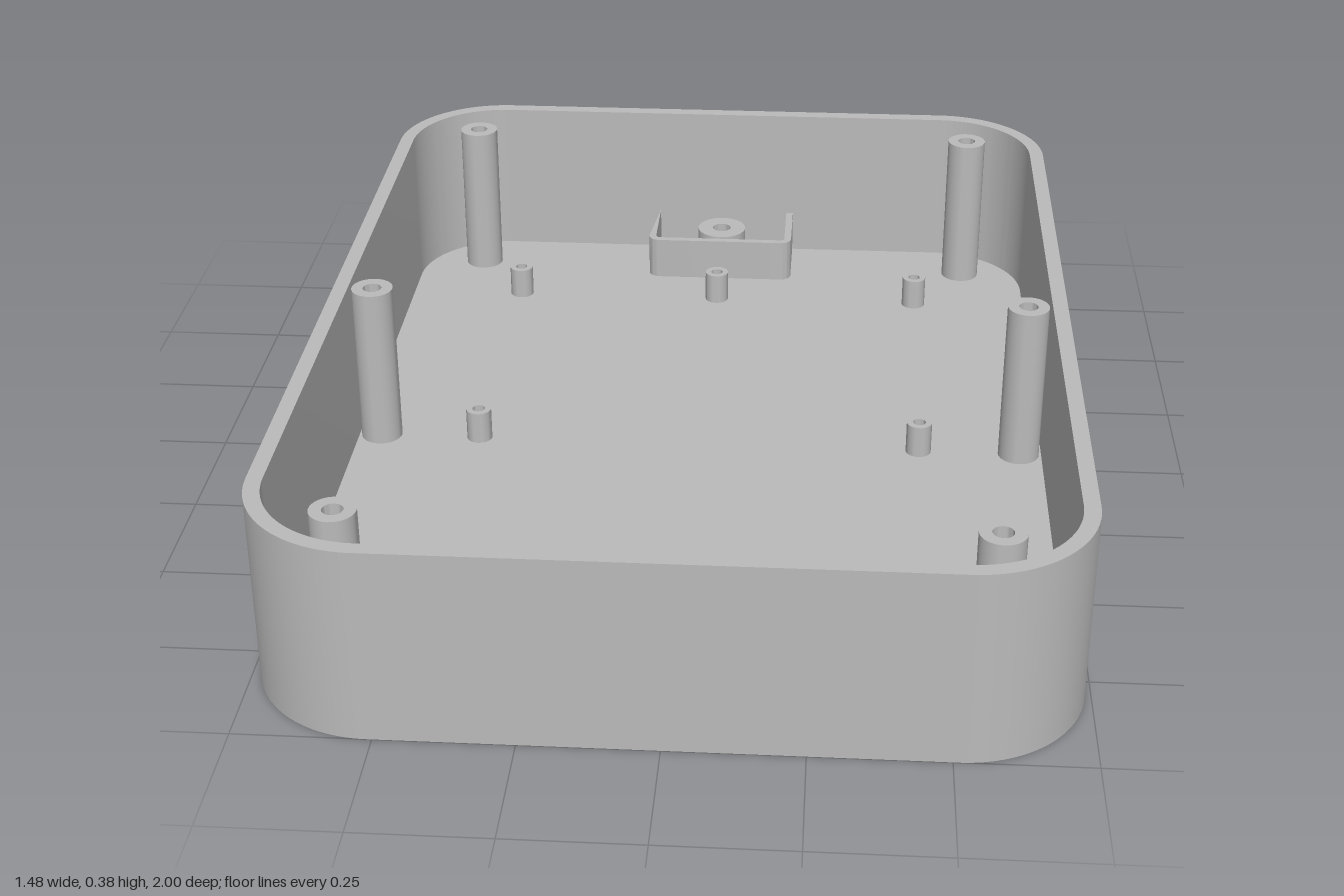
import * as THREE from 'three';
import { toCreasedNormals } from 'three/addons/utils/BufferGeometryUtils.js';

const W = 1.48, L = 2, H = 0.38, FLOOR = 0.035, WALL = 0.03, RADIUS = 0.23;

// Rounded rectangle centred on the origin
function roundedRect(PathType, w, l, r) {
  const p = new PathType(), x = w / 2 - r, y = l / 2 - r;
  p.absarc(x, y, r, 0, Math.PI / 2);
  p.absarc(-x, y, r, Math.PI / 2, Math.PI);
  p.absarc(-x, -y, r, Math.PI, Math.PI * 1.5);
  p.absarc(x, -y, r, Math.PI * 1.5, Math.PI * 2);
  p.closePath();
  return p;
}

// Extrude a plan shape upwards from y0 to y1
function slab(shape, y0, y1) {
  const g = new THREE.ExtrudeGeometry(shape, { depth: y1 - y0, bevelEnabled: false, curveSegments: 16 });
  g.rotateX(-Math.PI / 2).translate(0, y0, 0);
  return toCreasedNormals(g, 0.5);
}

// Hollow turned post; profile runs up the outside and down the bore
function post(profile) {
  const g = new THREE.LatheGeometry(profile.map(([r, y]) => new THREE.Vector2(r, y)), 32);
  return toCreasedNormals(g, 0.5);
}

export function createModel() {
  const model = new THREE.Group();
  model.name = 'enclosureBase';
  const grey = new THREE.MeshStandardMaterial({ color: 0xbababa });
  grey.name = 'grey plastic';

  function add(name, geometry, x = 0, z = 0, turn = 0) {
    const mesh = new THREE.Mesh(geometry, grey);
    mesh.name = name;
    mesh.position.set(x, 0, z);
    mesh.rotation.y = turn;
    model.add(mesh);
  }

  const screwSpots = [[-0.57, -0.857], [0.57, -0.857], [-0.57, 0.857], [0.57, 0.857], [-0.663, 0], [0.663, 0]];
  const pocketSpots = [[0, -0.893], [0, 0.893]];
  const standoffSpots = [];
  for (const x of [-0.457, 0, 0.457])
    for (const z of [-0.687, 0, 0.687]) if (x || z) standoffSpots.push([x, z]);

  // Floor with screw holes
  const floor = roundedRect(THREE.Shape, W, L, RADIUS);
  const drill = (spots, r) => spots.forEach(([x, z]) =>
    floor.holes.push(new THREE.Path().absarc(x, -z, r, 0, Math.PI * 2)));
  drill(screwSpots, 0.034);
  drill(pocketSpots, 0.021);
  add('floor', slab(floor, 0, FLOOR));

  // Surrounding wall
  const wall = roundedRect(THREE.Shape, W, L, RADIUS);
  wall.holes.push(roundedRect(THREE.Path, W - 2 * WALL, L - 2 * WALL, RADIUS - WALL));
  add('wall', slab(wall, FLOOR, H));

  // Tall screw posts, counterbored from below
  const screwPost = post([[0.042, FLOOR], [0.042, 0.375], [0.019, 0.375], [0.019, 0.12], [0.034, 0.12], [0.034, 0]]);
  screwSpots.forEach(([x, z]) => add('screwPost', screwPost, x, z));

  // Short standoffs with blind holes
  const standoff = post([[0.026, FLOOR], [0.026, 0.103], [0.013, 0.103], [0.013, FLOOR]]);
  standoffSpots.forEach(([x, z]) => add('standoff', standoff, x, z));

  // Low posts inside the end pockets
  const pocketPost = post([[0.056, FLOOR], [0.056, 0.122], [0.021, 0.122], [0.021, 0]]);
  pocketSpots.forEach(([x, z]) => add('pocketPost', pocketPost, x, z));

  // U-shaped pocket walls at both ends
  const a = 0.168, t = 0.016, y0 = 0.795, y1 = 0.975, ro = 0.025, ri = 0.01;
  const u = new THREE.Shape();
  u.moveTo(-a, y1);
  u.absarc(-a + ro, y0 + ro, ro, Math.PI, Math.PI * 1.5);
  u.absarc(a - ro, y0 + ro, ro, Math.PI * 1.5, Math.PI * 2);
  u.lineTo(a, y1);
  u.lineTo(a - t, y1);
  u.absarc(a - t - ri, y0 + t + ri, ri, 0, -Math.PI / 2, true);
  u.absarc(-a + t + ri, y0 + t + ri, ri, -Math.PI / 2, -Math.PI, true);
  u.lineTo(-a + t, y1);
  u.closePath();
  const pocket = slab(u, FLOOR, 0.13);
  add('backPocketWall', pocket);
  add('frontPocketWall', pocket, 0, 0, Math.PI);

  return model;
}
